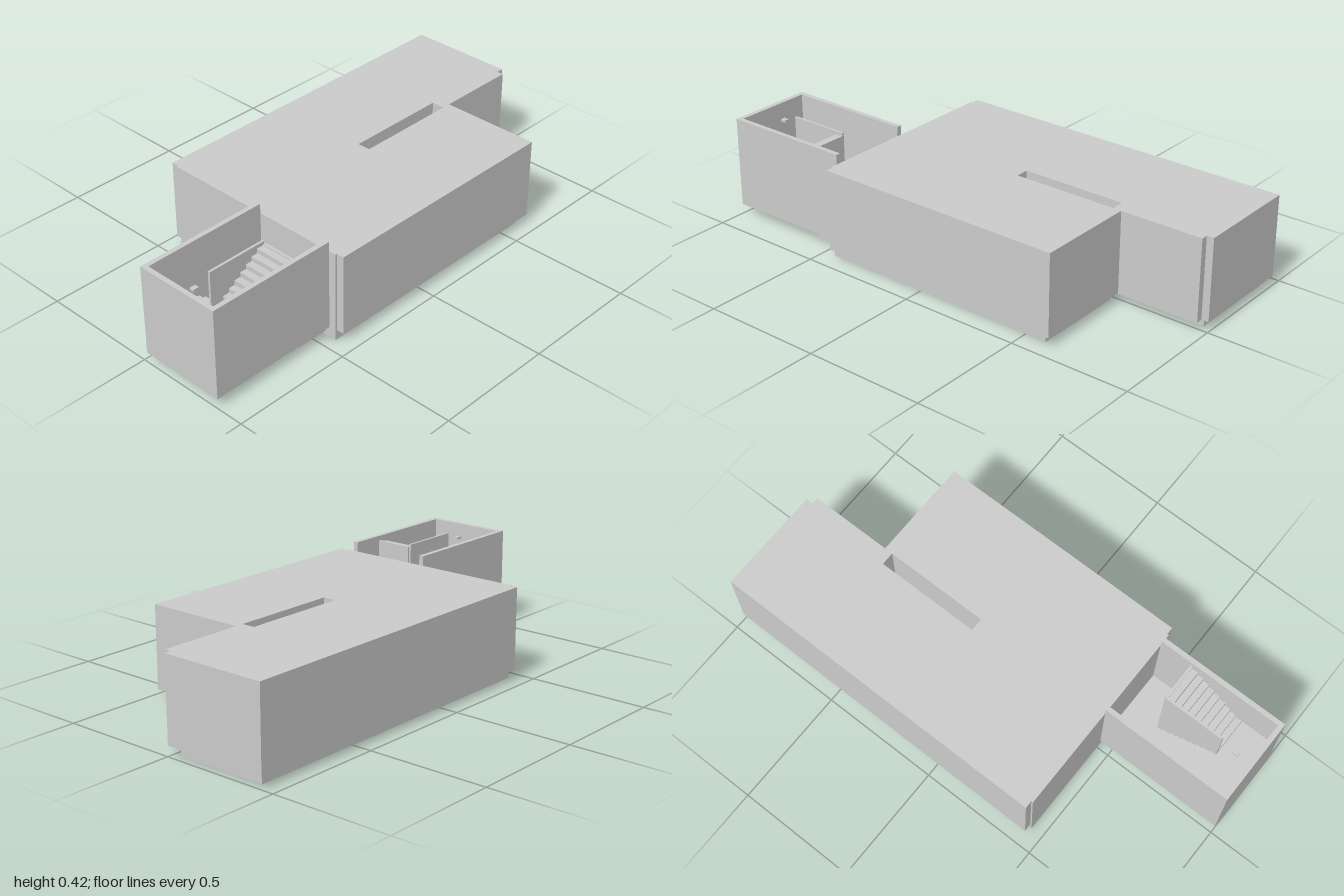
import * as THREE from 'three';

const grey = new THREE.MeshStandardMaterial({ color: 0xcccccc, flatShading: true });

export function createModel() {
  const model = new THREE.Group();

  function add(name, geometry, parent = model) {
    const mesh = new THREE.Mesh(geometry, grey);
    mesh.name = name;
    parent.add(mesh);
    return mesh;
  }

  // Box given by its limits on each axis
  function box(name, x0, x1, y0, y1, z0, z1, parent) {
    const g = new THREE.BoxGeometry(x1 - x0, y1 - y0, z1 - z0);
    g.translate((x0 + x1) / 2, (y0 + y1) / 2, (z0 + z1) / 2);
    return add(name, g, parent);
  }

  // Floor plan given as [x, z] corners, raised from y0 to y1
  const toPlan = (pts) => pts.map(([x, z]) => new THREE.Vector2(x, -z));
  function plan(name, outline, y0, y1, hole) {
    const shape = new THREE.Shape(toPlan(outline));
    if (hole) shape.holes.push(new THREE.Path(toPlan(hole)));
    const g = new THREE.ExtrudeGeometry(shape, { depth: y1 - y0, bevelEnabled: false });
    g.rotateX(-Math.PI / 2);
    g.translate(0, y0, 0);
    return add(name, g);
  }

  // L-shaped storey with a light slot
  plan('mainBlock', [
    [-0.45, 0.44], [0.448, 0.44], [0.448, -0.625], [0.025, -0.625],
    [0.025, -0.97], [-0.003, -0.97], [-0.003, -1], [-0.45, -1],
  ], 0.042, 0.38, [[-0.03, -0.15], [0.025, -0.15], [0.025, -0.59], [-0.03, -0.59]]);

  // Recessed plinth, its slot open to the back
  plan('plinth', [
    [-0.418, 0.447], [0.417, 0.447], [0.417, -0.59], [0.025, -0.59],
    [0.025, -0.15], [-0.03, -0.15], [-0.03, -0.965], [-0.418, -0.965],
  ], 0, 0.042);

  // Shallow facade panel between the front corners
  box('frontPanel', -0.418, 0.417, 0.042, 0.38, 0.44, 0.447);

  // Stair tower, open above and below
  const tower = new THREE.Group();
  tower.name = 'stairTower';
  model.add(tower);
  box('towerRightWall', 0.018, 0.038, 0.042, 0.42, 0.447, 1, tower);
  box('towerLeftWall', 0.365, 0.385, 0.042, 0.42, 0.447, 1, tower);
  box('towerFrontWall', 0.038, 0.365, 0.042, 0.42, 0.98, 1, tower);
  box('entryFloor', 0.038, 0.365, 0.015, 0.042, 0.44, 0.59, tower);
  box('landing', 0.038, 0.365, 0.2, 0.22, 0.85, 0.98, tower);
  box('dividingWall', 0.196, 0.206, 0.042, 0.41, 0.59, 0.85, tower);
  box('upperFlightEndWall', 0.206, 0.365, 0.042, 0.4, 0.585, 0.597, tower);
  box('lamp', 0.19, 0.21, 0.37, 0.38, 0.905, 0.93, tower);

  // Stepped flight with a sloping underside, as a side profile in z and y
  function flight(name, x0, x1, zStart, zEnd, yStart, yEnd) {
    const steps = 9;
    const run = (zEnd - zStart) / steps;
    const rise = (yEnd - yStart) / steps;
    const s = new THREE.Shape();
    s.moveTo(-zStart, yStart - 0.02);
    for (let i = 0; i < steps; i++) {
      s.lineTo(-(zStart + i * run), yStart + (i + 1) * rise);
      s.lineTo(-(zStart + (i + 1) * run), yStart + (i + 1) * rise);
    }
    s.lineTo(-zEnd, yEnd - 0.03);
    s.closePath();
    const g = new THREE.ExtrudeGeometry(s, { depth: x1 - x0, bevelEnabled: false });
    g.rotateY(Math.PI / 2);
    g.translate(x0, 0, 0);
    add(name, g, tower);
  }
  flight('lowerFlight', 0.042, 0.196, 0.59, 0.85, 0.042, 0.22);
  flight('upperFlight', 0.206, 0.358, 0.85, 0.597, 0.22, 0.395);

  return model;
}
